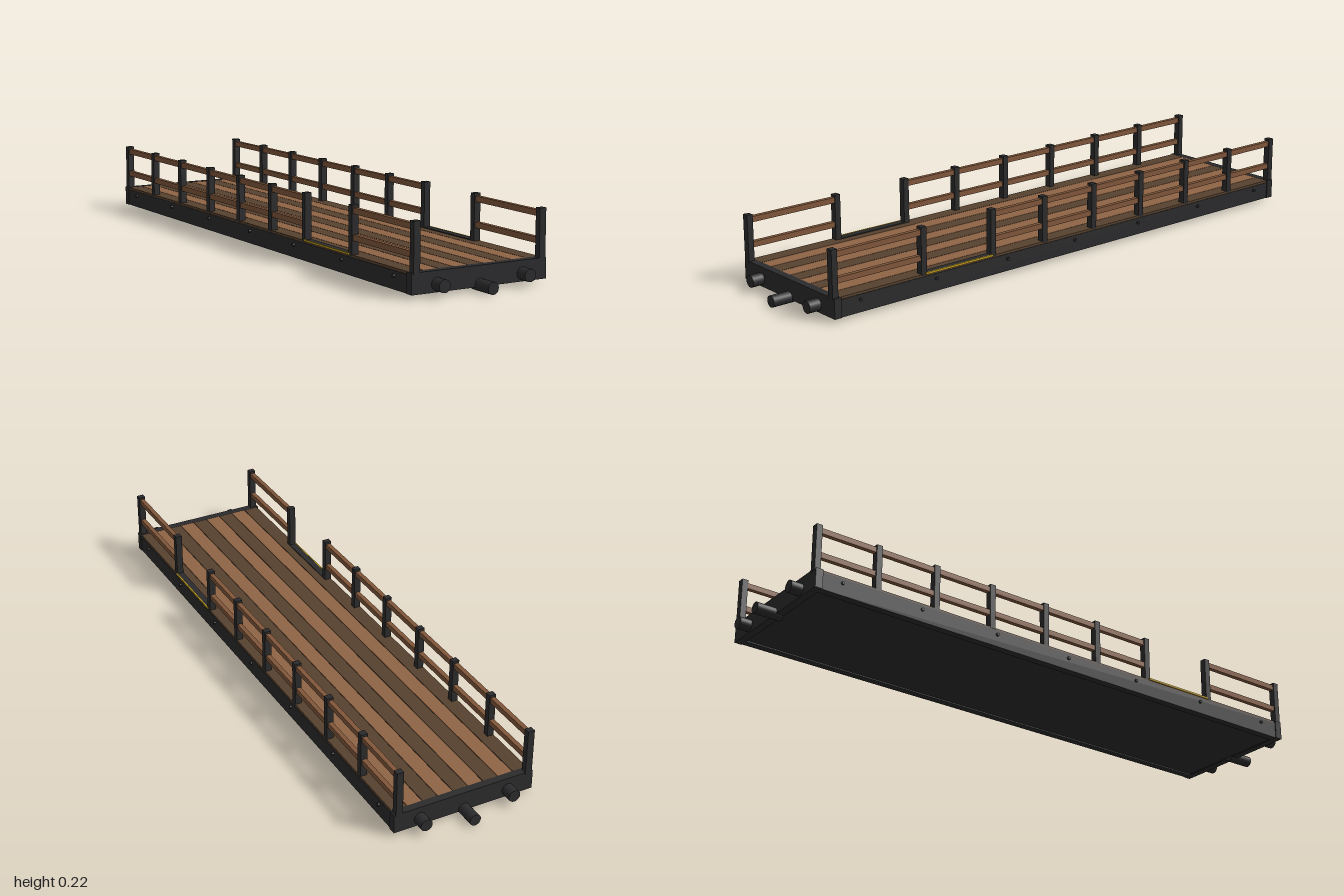
import * as THREE from 'three';

const mat = (name, color) => {
  const m = new THREE.MeshStandardMaterial({ color });
  m.name = name;
  return m;
};

export function createModel() {
  const model = new THREE.Group();
  model.name = 'flatWagon';
  const steel = mat('dark steel', 0x2b2b2d);
  const lightWood = mat('light wood', 0x8f6445);
  const darkWood = mat('dark wood', 0x57412f);
  const railWood = mat('rail wood', 0x7f563a);
  const yellow = mat('warning yellow', 0xc9a21a);

  const box = (name, m, w, h, d, x, y, z, parent = model) => {
    const mesh = new THREE.Mesh(new THREE.BoxGeometry(w, h, d), m);
    mesh.name = name;
    mesh.position.set(x, y, z);
    parent.add(mesh);
    return mesh;
  };
  const rod = (name, m, r, length, x, y, z, axis) => {
    const geo = new THREE.CylinderGeometry(r, r, length, 20);
    if (axis === 'z') geo.rotateX(Math.PI / 2);
    else geo.rotateZ(Math.PI / 2);
    const mesh = new THREE.Mesh(geo, m);
    mesh.name = name;
    mesh.position.set(x, y, z);
    model.add(mesh);
  };

  // Underframe: floor slab, side sills and end beams
  box('floorSlab', steel, 0.43, 0.046, 1.83, 0, 0.039, 0);
  for (const s of [-1, 1]) {
    box('sideSill', steel, 0.026, 0.055, 1.83, s * 0.219, 0.0395, 0);
    box('endBeam', steel, 0.47, 0.063, 0.025, 0, 0.0435, s * 0.9235);
  }

  // Deck of nine lengthwise planks in alternating shades
  const pitch = 0.0513;
  for (let i = 0; i < 9; i++) {
    box('deckPlank', i % 2 ? lightWood : darkWood, pitch - 0.002, 0.013, 1.824, (i - 4) * pitch, 0.068, 0);
  }

  // Buffers and drawbar at both ends
  for (const s of [-1, 1]) {
    for (const x of [-0.149, 0.149]) rod('buffer', steel, 0.0195, 0.06, x, 0.036, s * 0.945, 'z');
    rod('drawbar', steel, 0.0185, 0.09, 0, 0.0185, s * 0.955, 'z');
  }

  // Railings on both sides, with a loading gap near the front
  const posts = [0.928, 0.605];
  for (let i = 0; i < 7; i++) posts.push(0.335 - i * 0.2105);
  for (const s of [-1, 1]) {
    const railing = new THREE.Group();
    railing.name = s > 0 ? 'leftRailing' : 'rightRailing';
    model.add(railing);
    const x = s * 0.219;
    for (const z of posts) box('railPost', steel, 0.022, 0.152, 0.02, x, 0.146, z, railing);
    for (const [a, b] of [[0.928, 0.605], [0.335, -0.928]]) {
      for (const y of [0.125, 0.205]) {
        box('rail', railWood, 0.015, 0.018, a - b, x, y, (a + b) / 2, railing);
      }
    }

    // Threshold plate with a yellow edge in the gap
    box('threshold', steel, 0.022, 0.006, 0.26, x, 0.0745, 0.47);
    box('thresholdEdge', yellow, 0.004, 0.006, 0.26, s * 0.232, 0.0755, 0.47);

    // Bolt heads along the sill
    for (let i = -3; i <= 3; i++) rod('sillBolt', steel, 0.005, 0.012, s * 0.232, 0.052, i * 0.281, 'x');
  }
  return model;
}
